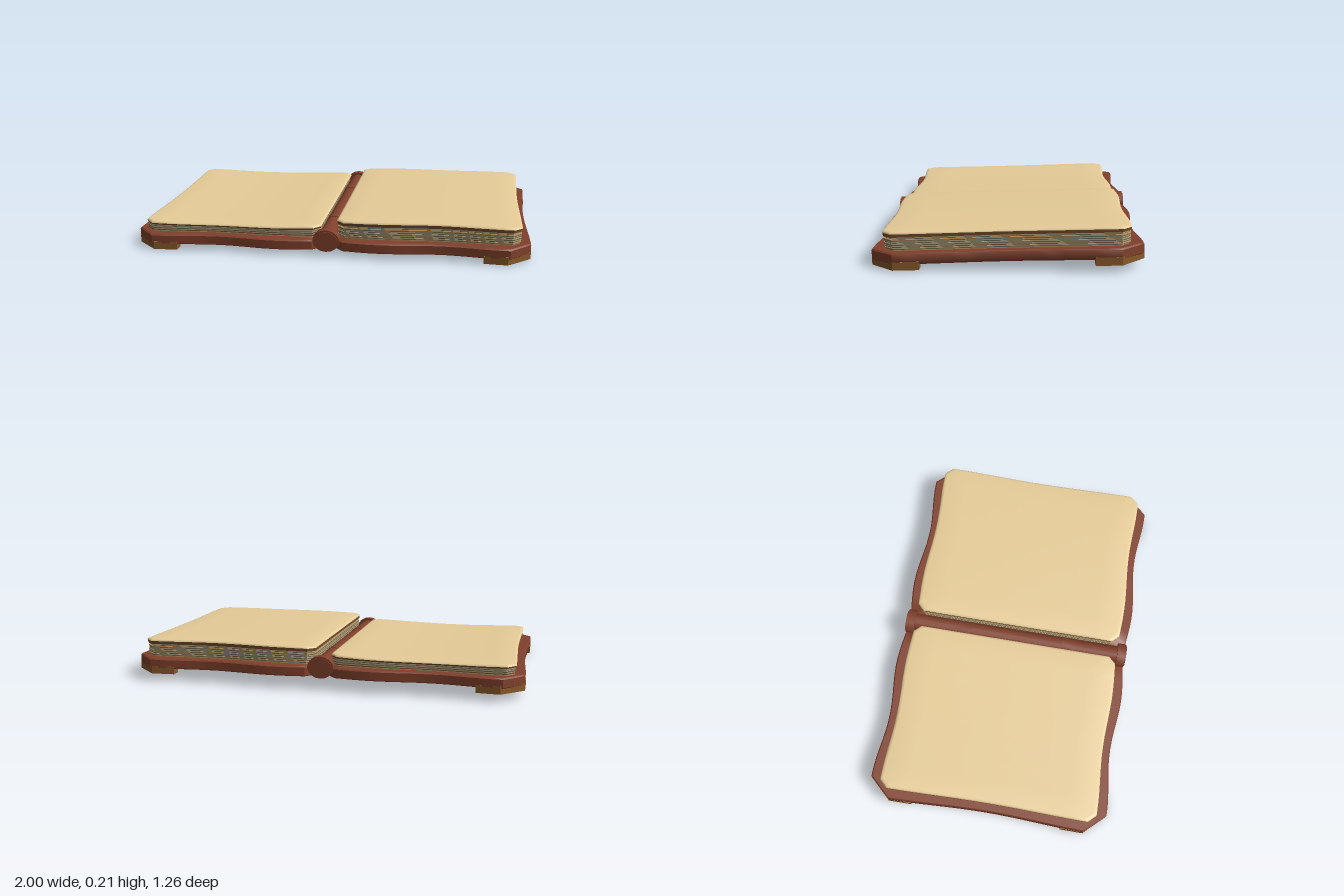
import * as THREE from 'three';
import { toCreasedNormals } from 'three/addons/utils/BufferGeometryUtils.js';

const mat = (name, color) => Object.assign(new THREE.MeshStandardMaterial({ color }), { name });

// Chamfered rectangle on one side of the spine (s = 1 or -1) with softly waving edges
function outline(s, x0, x1, hz, ci, co, amp) {
  const c = [[x0 + ci, hz], [x1 - co, hz], [x1, hz - co], [x1, -hz + co],
    [x1 - co, -hz], [x0 + ci, -hz], [x0, -hz + ci], [x0, hz - ci]];
  const pts = [];
  c.forEach(([ax, az], i) => {
    const [bx, bz] = c[(i + 1) % 8];
    const n = Math.hypot(bx - ax, bz - az) > 0.3 ? 16 : 4;
    for (let k = 0; k < n; k++) {
      const x = ax + (bx - ax) * k / n, z = az + (bz - az) * k / n;
      const wz = amp * Math.cos((x - 0.25) * Math.PI * 2 / 0.62);
      const wx = x > 0.5 ? -amp * 0.7 * Math.cos(z * Math.PI * 2 / 1.1) : 0;
      pts.push([s * (x + wx), z + Math.sign(z) * wz * Math.min(1, Math.abs(z) / hz)]);
    }
  });
  return s > 0 ? pts : pts.reverse();
}

// Stacks scaled copies of an outline; each ring is [scale, y], from bottom centre to top centre
function loft(pts, rings, warp = (x, y) => y) {
  const cx = (Math.min(...pts.map(p => p[0])) + Math.max(...pts.map(p => p[0]))) / 2;
  const n = pts.length, pos = [], idx = [];
  for (const [t, y] of rings) {
    for (const [px, z] of pts) {
      const x = cx + (px - cx) * t;
      pos.push(x, warp(x, y), z * t);
    }
  }
  for (let j = 0; j < rings.length - 1; j++) {
    for (let i = 0; i < n; i++) {
      const a = j * n + i, b = j * n + (i + 1) % n, c = b + n, d = a + n;
      if (rings[j][0] > 0) idx.push(a, b, d);
      if (rings[j + 1][0] > 0) idx.push(b, c, d);
    }
  }
  const g = new THREE.BufferGeometry();
  g.setAttribute('position', new THREE.Float32BufferAttribute(pos, 3));
  g.setIndex(idx);
  return toCreasedNormals(g, 0.7);
}

export function createModel() {
  const leather = mat('red brown leather', 0x81412c);
  const groove = mat('tooled line', 0x5c2c1e);
  const brass = mat('bright brass', 0xc49a4a);
  const brassEdge = mat('worn brass edge', 0x8a5a2a);
  const paper = mat('parchment', 0xe6cc98);
  const edges = [mat('page edge', 0xb5a67e), mat('page gap', 0x6c6650),
    mat('orange page edge', 0xc39a60), mat('brown page edge', 0x7c5130)];

  const model = new THREE.Group();
  model.name = 'openBook';
  const book = new THREE.Group();
  book.name = 'tiltedBook';
  book.rotation.x = 0.03;
  model.add(book);
  const add = (name, geo, material) => {
    const m = new THREE.Mesh(geo, material);
    m.name = name;
    book.add(m);
    return m;
  };

  let seed = 7;
  const rand = () => (seed = (seed * 16807) % 2147483647) / 2147483647;

  // Flat shape laid on the underside, facing down
  const under = (name, shape, material, y, depth, x = 0, z = 0) => {
    const g = new THREE.ExtrudeGeometry(shape, { depth, bevelEnabled: false, curveSegments: 24 });
    const m = add(name, g, material);
    m.rotation.x = Math.PI / 2;
    m.position.set(x, y, z);
  };

  for (const s of [1, -1]) {
    const side = s > 0 ? 'left' : 'right';

    // Cover board with slightly eased edges
    const rim = outline(s, 0.045, 0.99, 0.617, 0.03, 0.1, 0.013);
    add(side + 'Cover', loft(rim, [[0, 0.048], [0.993, 0.048], [1, 0.052], [1, 0.093], [0.99, 0.099], [0, 0.099]]), leather);

    // Tooled border line on the underside
    const frame = new THREE.Shape(outline(s, 0.12, 0.9, 0.53, 0.05, 0.08, 0).map(p => new THREE.Vector2(...p)));
    frame.holes.push(new THREE.Path(outline(s, 0.13, 0.89, 0.52, 0.05, 0.08, 0).map(p => new THREE.Vector2(...p))));
    under(side + 'BorderLine', frame, groove, 0.05, 0.004);

    // Strip of leather along the hinge
    const strip = add(side + 'HingeStrip', new THREE.BoxGeometry(0.018, 0.012, 1.0), leather);
    strip.position.set(s * 0.062, 0.046, 0);

    // Stacked page layers, warped by the sag of the top sheet
    const top = s > 0 ? 0.19 : 0.15;
    const sag = s > 0
      ? x => 0.005 * Math.sin((x - 0.04) * 3.4) - 0.002
      : x => 0.012 * Math.pow((Math.abs(x) - 0.55) / 0.5, 2) - 0.004;
    const warp = (x, y) => y + sag(x) * (y - 0.099) / (top - 0.099);
    const sheet = outline(s, 0.04, 0.95, 0.567, 0.035, 0.04, 0.007);
    const slab = top - (s > 0 ? 0.026 : 0.018), leaf = top - 0.01;
    const n = s > 0 ? 13 : 7, h = (slab - 0.099) / n;
    for (let i = 0; i < n; i++) {
      const t = 0.978 + rand() * 0.014, y = 0.099 + i * h;
      const material = edges[i % 2 ? (rand() < 0.75 ? 1 : 3) : (rand() < 0.7 ? 0 : 2)];
      add(side + 'PageLayer', loft(sheet, [[0.8, y], [t, y], [t, y + h], [0.8, y + h]], warp), material);
    }

    // Top sheets: a brown under-edge and a rounded parchment leaf
    add(side + 'LowerLeaf', loft(sheet, [[0.8, slab], [0.993, slab], [0.998, leaf], [0.8, leaf]], warp), edges[3]);
    add(side + 'TopLeaf', loft(sheet, [[0.8, leaf], [1, leaf], [0.998, top - 0.006],
      [0.99, top - 0.002], [0.97, top], [0.75, top], [0.5, top], [0.25, top], [0, top]], warp), paper);

    // Brass guards on the outer corners, each with small rivets
    for (const f of [1, -1]) {
      const p = [[0.77, 0.624], [0.888, 0.632], [0.999, 0.522], [0.999, 0.4], [0.94, 0.4],
        [0.92, 0.45], [0.89, 0.5], [0.85, 0.54], [0.8, 0.56], [0.77, 0.57]];
      const shape = new THREE.Shape(p.map(([x, z]) => new THREE.Vector2(s * x, f * z)));
      under(side + 'CornerGuard', shape, [brass, brassEdge], 0.06, 0.039);
      for (const [x, z] of [[0.81, 0.595], [0.918, 0.552], [0.967, 0.44]]) {
        const rivet = add(side + 'GuardRivet', new THREE.CylinderGeometry(0.01, 0.01, 0.004, 10), groove);
        rivet.position.set(s * x, 0.0205, f * z);
      }
    }
  }

  // Spine rod with raised bands and wider end caps
  const rod = (name, r, len, z) => {
    const m = add(name, toCreasedNormals(new THREE.CylinderGeometry(r, r, len, 16), 0.7), leather);
    m.rotation.x = Math.PI / 2;
    m.position.set(-0.004, 0.098, z);
    return m;
  };
  rod('spine', 0.045, 1.18, 0);
  for (const z of [-0.29, 0.3]) rod('spineBand', 0.048, 0.08, z);
  for (const f of [1, -1]) {
    rod('spineEndCap', 0.056, 0.045, f * 0.593).scale.x = 1.2;
    rod('spineEndRim', 0.048, 0.015, f * 0.613).scale.x = 1.2;
  }

  // Round brass medallion with a beaded ring under the right cover
  const disc = (r, hole) => {
    const shape = new THREE.Shape().absarc(0, 0, r, 0, Math.PI * 2);
    if (hole) shape.holes.push(new THREE.Path().absarc(0, 0, hole, 0, Math.PI * 2, true));
    return shape;
  };
  const mx = -0.54, mz = -0.06;
  under('medallionRing', disc(0.215, 0.2), brass, 0.049, 0.006, mx, mz);
  under('medallionInnerRing', disc(0.17, 0.16), brass, 0.049, 0.006, mx, mz);
  for (let i = 0; i < 28; i++) {
    const a = i / 28 * Math.PI * 2;
    const bead = add('medallionBead', new THREE.CylinderGeometry(0.009, 0.009, 0.006, 8), brass);
    bead.position.set(mx + 0.185 * Math.cos(a), 0.046, mz + 0.185 * Math.sin(a));
  }
  const diamond = new THREE.Shape([[0.09, 0], [0, 0.07], [-0.09, 0], [0, -0.07]].map(p => new THREE.Vector2(...p)));
  under('medallionDiamond', diamond, brass, 0.049, 0.006, mx, mz);
  for (const z of [-0.48, 0.4]) under('brassStud', disc(0.014), brass, 0.049, 0.006, -0.51, z);

  return model;
}
